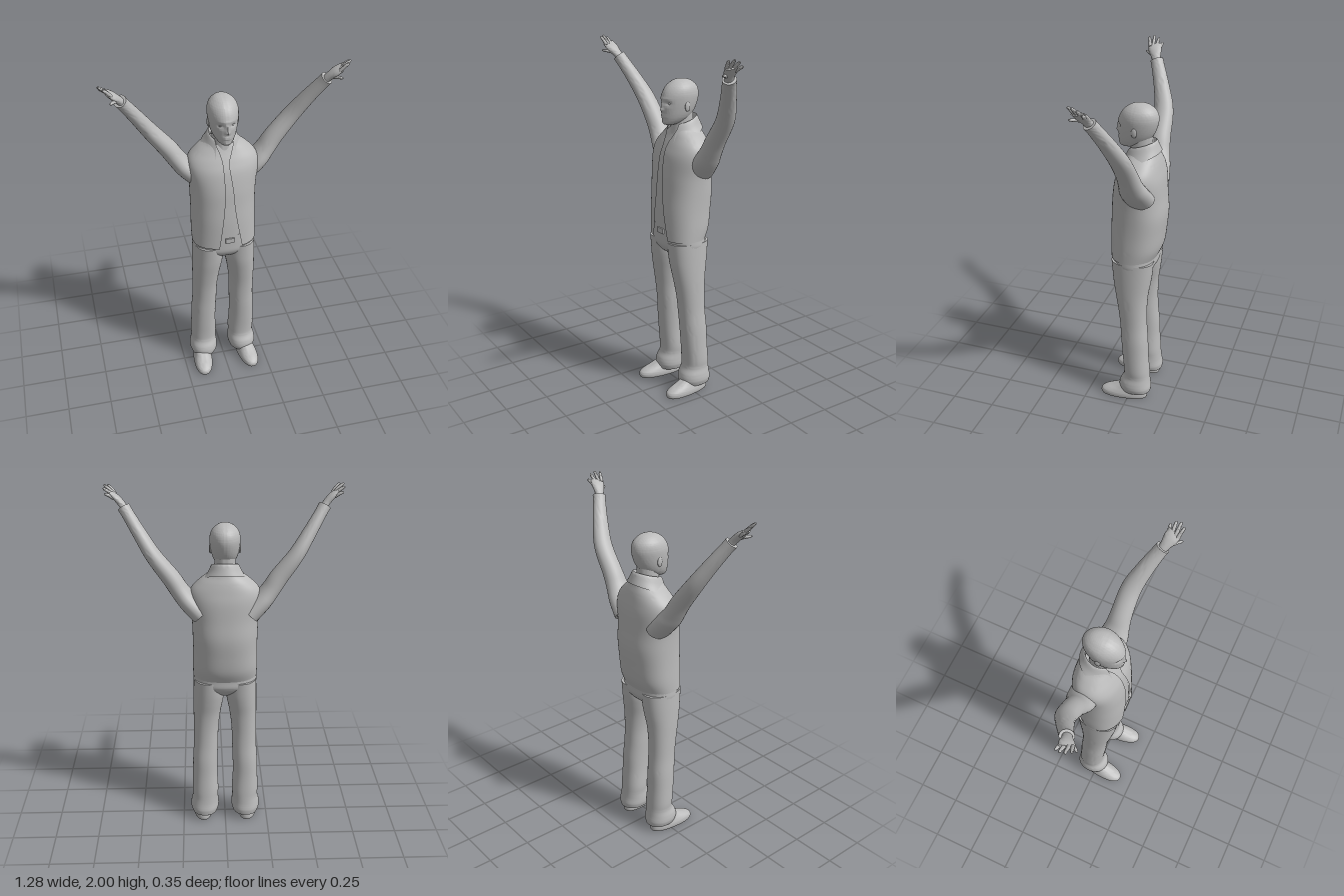
import * as THREE from 'three';
import { toCreasedNormals } from 'three/addons/utils/BufferGeometryUtils.js';

const V = (x, y, z) => new THREE.Vector3(x, y, z);
const grey = new THREE.MeshStandardMaterial({ color: 0xbbbbbb, side: THREE.DoubleSide });
grey.name = 'plain grey';

// Catmull-Rom interpolation of rows of numbers
function refine(rows, steps) {
  const out = [];
  const last = rows.length - 1;
  for (let i = 0; i < last; i++) {
    const [a, b, c, d] = [i - 1, i, i + 1, i + 2].map(k => rows[Math.min(last, Math.max(0, k))]);
    for (let s = 0; s < steps; s++) {
      const t = s / steps;
      out.push(b.map((_, k) => b[k] + 0.5 * t * (c[k] - a[k]
        + t * (2 * a[k] - 5 * b[k] + 4 * c[k] - d[k] + t * (3 * (b[k] - c[k]) + d[k] - a[k])))));
    }
  }
  out.push(rows[last]);
  return out;
}

// Skin over rings {c, side, front, from, to, tilt}; angle 0 is the front, turning to +x
function skin(rings, { seg = 40, power = 1, caps = false, move } = {}) {
  const pos = [], idx = [], w = seg + 1;
  const bend = v => Math.sign(v) * Math.abs(v) ** power;
  rings.forEach(r => {
    for (let j = 0; j < w; j++) {
      const a = r.from + (r.to - r.from) * j / seg;
      const p = r.c.clone().addScaledVector(r.side, bend(Math.sin(a))).addScaledVector(r.front, bend(Math.cos(a)));
      p.y += r.tilt * Math.cos(a);
      if (move) move(p);
      pos.push(p.x, p.y, p.z);
    }
  });
  for (let i = 0; i < rings.length - 1; i++) {
    for (let j = 0; j < seg; j++) {
      const a = i * w + j, b = a + w;
      idx.push(a, a + 1, b, a + 1, b + 1, b);
    }
  }
  if (caps) {
    [0, rings.length - 1].forEach((i, top) => {
      const c = rings[i].c, m = pos.length / 3;
      pos.push(c.x, c.y, c.z);
      for (let j = 0; j < seg; j++) {
        const a = i * w + j;
        if (top) idx.push(m, a, a + 1); else idx.push(m, a + 1, a);
      }
    });
  }
  const g = new THREE.BufferGeometry();
  g.setAttribute('position', new THREE.Float32BufferAttribute(pos, 3));
  g.setIndex(idx);
  return toCreasedNormals(g, 0.9);
}

// Level slices: [y, halfWidth, zBack, zFront, centreX, leftEdgeX, rightEdgeX, tilt]
function slices(rows, opts = {}) {
  const power = opts.power || 1;
  const angle = (x, hw) => Math.asin(Math.sign(x) * Math.min(1, Math.abs(x / hw)) ** (1 / power));
  return skin(refine(rows, opts.steps || 5).map(([y, hw, zb, zf, cx = 0, l = 0, r = 0, tilt = 0]) => ({
    c: V(cx, y, (zb + zf) / 2), side: V(hw, 0, 0), front: V(0, 0, (zf - zb) / 2),
    from: l ? angle(l, hw) : 0, to: Math.PI * 2 + (r ? angle(r, hw) : 0), tilt,
  })), opts);
}

// Limb along a path: [x, y, z, thickness, depth]
function limb(rows, opts = {}) {
  const fine = refine(rows, opts.steps || 5);
  return skin(fine.map((p, i) => {
    const a = fine[Math.max(0, i - 1)], b = fine[Math.min(fine.length - 1, i + 1)];
    const t = V(b[0] - a[0], b[1] - a[1], b[2] - a[2]).normalize();
    const f = V(0, 0, 1).addScaledVector(t, -t.z).normalize();
    const s = t.clone().cross(f);
    return { c: V(p[0], p[1], p[2]), side: s.multiplyScalar(p[3]), front: f.multiplyScalar(p[4]),
      from: 0, to: Math.PI * 2, tilt: 0 };
  }), { caps: true, ...opts });
}

export function createModel() {
  const model = new THREE.Group();
  model.name = 'standingMan';
  const add = (name, geo) => {
    const m = new THREE.Mesh(geo, grey);
    m.name = name;
    model.add(m);
    return m;
  };
  const ball = (name, x, y, z, rx, ry, rz) =>
    add(name, new THREE.SphereGeometry(1, 20, 14).scale(rx, ry, rz).translate(x, y, z));

  // Open jacket, with the shirt just inside it
  const jacket = [
    [0.935, 0.18, -0.13, 0.132, 0, 0.08, -0.05, 0],
    [1.0, 0.181, -0.155, 0.133, 0, 0.068, -0.042, 0],
    [1.1, 0.179, -0.168, 0.133, 0, 0.05, -0.03, 0],
    [1.2, 0.18, -0.176, 0.128, 0, 0.036, -0.02, 0],
    [1.3, 0.184, -0.168, 0.122, 0, 0.028, -0.015, 0],
    [1.4, 0.197, -0.16, 0.105, 0, 0.016, -0.018, 0],
    [1.46, 0.186, -0.148, 0.082, 0, 0.012, -0.02, 0],
    [1.51, 0.14, -0.135, 0.058, 0, 0.03, -0.03, 0],
    [1.55, 0.09, -0.12, 0.042, 0, 0.045, -0.045, 0],
    [1.585, 0.07, -0.11, 0.03, 0, 0.05, -0.05, 0],
  ];
  add('jacket', slices(jacket, { seg: 56, power: 0.87 }));
  add('shirt', slices(jacket.slice(1, 9).map(([y, hw, zb, zf]) => [y, hw - 0.013, zb + 0.013, zf - 0.014]),
    { seg: 56, power: 0.87, caps: true }));

  // Collar folded outward, open at the throat
  add('collar', slices([
    [1.515, 0.118, -0.138, 0.086, 0, 0.062, -0.062, -0.045],
    [1.55, 0.094, -0.128, 0.066, 0, 0.05, -0.05, -0.035],
    [1.59, 0.075, -0.116, 0.05, 0, 0.05, -0.05, -0.025],
    [1.592, 0.067, -0.108, 0.042, 0, 0.048, -0.048, -0.025],
    [1.55, 0.066, -0.105, 0.04, 0, 0.044, -0.044, -0.025],
  ], { steps: 3 }));

  // Trouser seat and belt buckle
  add('trouserSeat', slices([
    [0.82, 0.07, -0.06, 0.04], [0.85, 0.14, -0.1, 0.085], [0.89, 0.176, -0.127, 0.113],
    [0.94, 0.178, -0.129, 0.118], [1.01, 0.174, -0.138, 0.119],
  ], { power: 0.85, caps: true }));
  add('beltBuckle', new THREE.BoxGeometry(0.05, 0.03, 0.012).translate(0.01, 0.98, 0.121));

  // Neck
  add('neck', slices([[1.45, 0.066, -0.1, 0.05], [1.52, 0.058, -0.092, 0.04],
    [1.58, 0.056, -0.09, 0.036], [1.66, 0.056, -0.09, 0.04]]));

  // Head, with the features raised or sunk: [x, y, depth, width, height]
  const bumps = [
    [0, 1.658, 0.014, 0.011, 0.011], [0, 1.685, 0.009, 0.008, 0.018], [0, 1.622, 0.008, 0.02, 0.009],
    [0, 1.592, 0.004, 0.018, 0.009], [0, 1.622, -0.005, 0.018, 0.0025],
    [0.032, 1.692, -0.011, 0.015, 0.01], [-0.032, 1.692, -0.011, 0.015, 0.01],
    [0, 1.718, 0.004, 0.04, 0.008],
  ];
  add('head', slices([
    [1.572, 0.012, 0.045, 0.07], [1.578, 0.032, 0.0, 0.09], [1.595, 0.05, -0.045, 0.095],
    [1.62, 0.064, -0.075, 0.097], [1.655, 0.074, -0.1, 0.099], [1.7, 0.081, -0.117, 0.1],
    [1.74, 0.082, -0.122, 0.093], [1.775, 0.072, -0.111, 0.072], [1.8, 0.05, -0.085, 0.042],
    [1.812, 0.029, -0.058, 0.014], [1.817, 0.002, -0.024, -0.02],
  ], { seg: 80, steps: 8, caps: true, move: p => {
    if (p.z < 0) return;
    p.x *= 1 - 0.8 * p.z;
    const x = p.x;
    for (const [bx, by, d, w, h] of bumps) {
      p.z += d * Math.min(1, p.z / 0.05) * Math.exp(-(((x - bx) / w) ** 2) - ((p.y - by) / h) ** 2);
    }
  } }));

  for (const s of [1, -1]) {
    const side = s > 0 ? 'left' : 'right';
    const flip = rows => rows.map(([x, ...rest]) => [x * s, ...rest]);

    // Eyes and ears
    ball(side + 'Eye', s * 0.031, 1.692, 0.073, 0.013, 0.007, 0.009);
    ball(side + 'Ear', s * 0.079, 1.675, -0.01, 0.007, 0.027, 0.016).rotation.x = 0;

    // Raised sleeve
    add(side + 'Sleeve', limb(flip([
      [0.13, 1.325, -0.06, 0.06, 0.085], [0.2, 1.395, -0.05, 0.055, 0.08], [0.245, 1.455, -0.047, 0.051, 0.066],
      [0.29, 1.525, -0.045, 0.05, 0.058], [0.38, 1.645, -0.036, 0.043, 0.054],
      [0.45, 1.755, 0.0, 0.037, 0.045], [0.51, 1.85, 0.04, 0.033, 0.038], [0.532, 1.885, 0.056, 0.034, 0.037],
    ]), { seg: 28 }));

    // Hand: palm, four fingers and thumb
    add(side + 'Palm', limb(flip([
      [0.515, 1.86, 0.047, 0.02, 0.024], [0.54, 1.897, 0.063, 0.019, 0.027],
      [0.57, 1.93, 0.078, 0.017, 0.038], [0.597, 1.953, 0.089, 0.01, 0.037],
    ]), { seg: 20 }));
    [[0.59, 1.936, 0.057, 0.63, 1.958, 0.05], [0.594, 1.948, 0.076, 0.638, 1.982, 0.075],
      [0.592, 1.954, 0.096, 0.636, 1.994, 0.102], [0.585, 1.952, 0.113, 0.618, 1.99, 0.127],
      [0.548, 1.902, 0.085, 0.588, 1.915, 0.137]].forEach(([x, y, z, X, Y, Z], i) => {
      const at = (t, up, r) => [x + (X - x) * t, y + (Y - y) * t + up, z + (Z - z) * t, r, r];
      add(side + (i < 4 ? 'Finger' + (i + 1) : 'Thumb'), limb(flip([
        at(-0.2, 0, 0.01), at(0.4, 0.003, 0.009), at(0.85, 0.001, 0.007), at(1, 0, 0.003),
      ]), { seg: 10, steps: 3 }));
    });

    // Trouser leg with a loose hem
    add(side + 'TrouserLeg', slices([
      [0.045, 0.074, -0.125, 0.055, 0.122], [0.075, 0.083, -0.128, 0.064, 0.122],
      [0.11, 0.081, -0.122, 0.058, 0.121], [0.15, 0.075, -0.118, 0.038, 0.118],
      [0.2, 0.077, -0.115, 0.036, 0.118], [0.3, 0.073, -0.108, 0.044, 0.119],
      [0.4, 0.072, -0.105, 0.052, 0.117], [0.5, 0.071, -0.097, 0.059, 0.112],
      [0.6, 0.072, -0.095, 0.07, 0.11], [0.7, 0.078, -0.1, 0.087, 0.104],
      [0.78, 0.085, -0.112, 0.101, 0.096], [0.84, 0.089, -0.12, 0.108, 0.091],
      [0.92, 0.088, -0.127, 0.115, 0.09],
    ].map(([y, hw, zb, zf, x]) => [y, hw, zb, zf, x * s]), { power: 0.92, caps: true }));

    // Shoe, toe turned slightly out
    const shoe = add(side + 'Shoe', slices([
      [0, 0.053, -0.138, 0.138], [0.012, 0.057, -0.141, 0.143], [0.03, 0.056, -0.139, 0.138],
      [0.046, 0.051, -0.137, 0.112], [0.062, 0.046, -0.135, 0.07], [0.085, 0.042, -0.13, 0.02],
    ], { power: 0.85, caps: true }));
    shoe.position.set(s * 0.14, 0, 0.032);
    shoe.rotation.y = s * 0.1;
  }
  return model;
}
